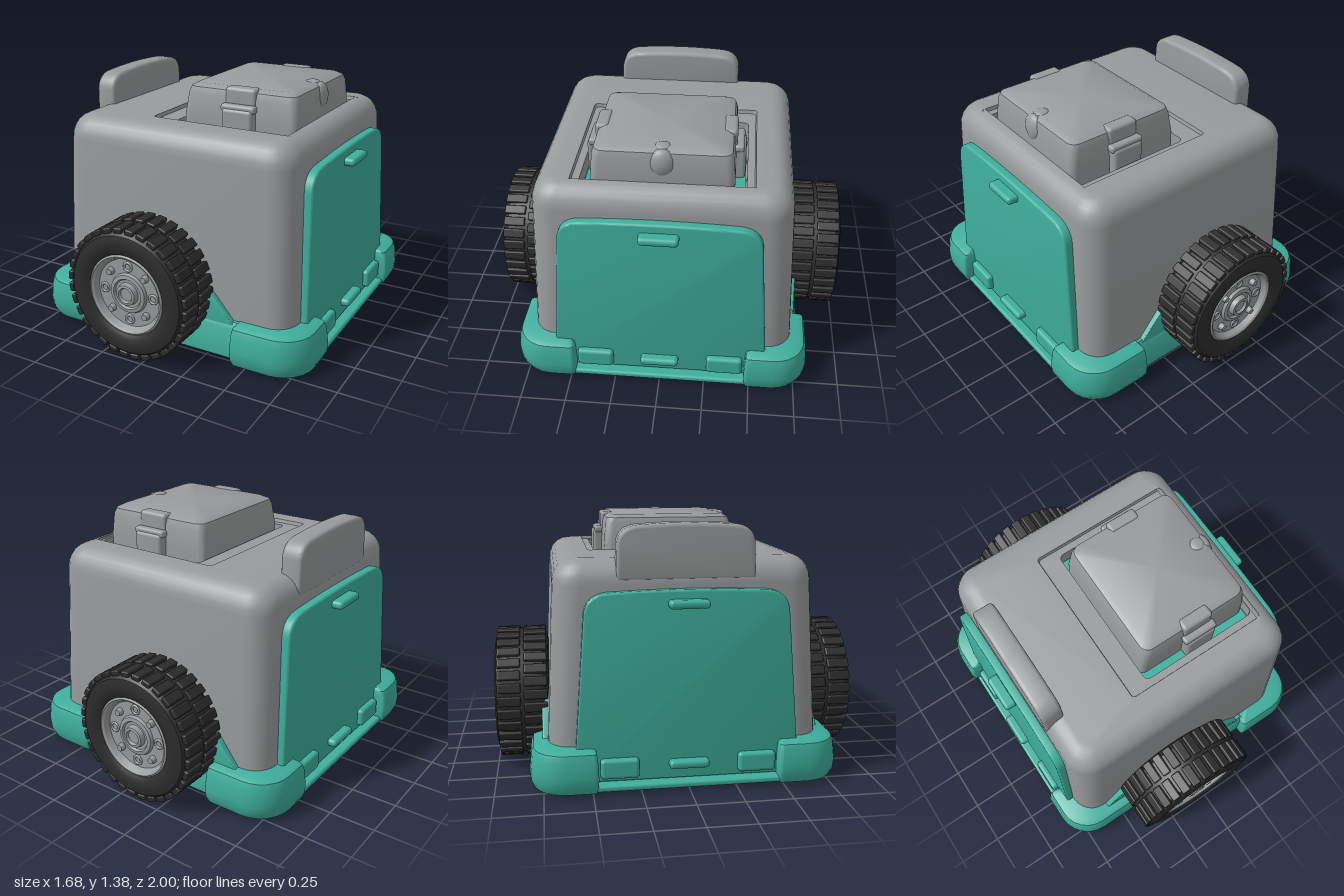
import * as THREE from 'three';
import { toCreasedNormals } from 'three/addons/utils/BufferGeometryUtils.js';
import { RoundedBoxGeometry } from 'three/addons/geometries/RoundedBoxGeometry.js';

const mat = (name, color) => {
  const m = new THREE.MeshStandardMaterial({ color });
  m.name = name;
  return m;
};

// Skins rounded-rectangle sections [y, x0, x1, z0, z1, radius or four radii], closed at both ends
function loft(sections) {
  const steps = 6, loops = sections.map(([y, x0, x1, z0, z1, r]) => {
    const radii = Array.isArray(r) ? r : [r, r, r, r];
    const pts = [];
    for (let c = 0; c < 4; c++) {
      const q = radii[c];
      const cx = c === 0 || c === 3 ? x1 - q : x0 + q;
      const cz = c < 2 ? z1 - q : z0 + q;
      for (let i = 0; i <= steps; i++) {
        const a = (c + i / steps) * Math.PI / 2;
        pts.push([cx + q * Math.cos(a), y, cz + q * Math.sin(a)]);
      }
    }
    return pts;
  });
  const n = loops[0].length, pos = [];
  const tri = (...p) => p.forEach(v => pos.push(...v));
  const middle = ([y, x0, x1, z0, z1]) => [(x0 + x1) / 2, y, (z0 + z1) / 2];
  const bottom = middle(sections[0]), top = middle(sections[sections.length - 1]);
  for (let i = 0; i < n; i++) {
    const j = (i + 1) % n;
    tri(bottom, loops[0][i], loops[0][j]);
    for (let k = 0; k + 1 < loops.length; k++) {
      const lo = loops[k], hi = loops[k + 1];
      tri(lo[i], hi[i], lo[j]);
      tri(lo[j], hi[i], hi[j]);
    }
    tri(top, loops[loops.length - 1][j], loops[loops.length - 1][i]);
  }
  const g = new THREE.BufferGeometry();
  g.setAttribute('position', new THREE.Float32BufferAttribute(pos, 3));
  return toCreasedNormals(g, 0.6);
}

// Door-like outline with sloping sides and rounded top corners
function arch(bottomHalf, topHalf, y0, y1, r) {
  const s = new THREE.Shape();
  s.moveTo(-bottomHalf, y0);
  s.lineTo(bottomHalf, y0);
  s.lineTo(topHalf, y1 - r);
  s.quadraticCurveTo(topHalf - 0.01, y1 - 0.02, topHalf - r, y1 - 0.01);
  s.quadraticCurveTo(0, y1 + 0.01, -topHalf + r, y1 - 0.01);
  s.quadraticCurveTo(-topHalf + 0.01, y1 - 0.02, -topHalf, y1 - r);
  s.closePath();
  return s;
}

const extrude = (shape, depth, bevel = 0.01) => toCreasedNormals(new THREE.ExtrudeGeometry(shape, {
  depth: depth - bevel, bevelThickness: bevel, bevelSize: bevel, bevelOffset: -bevel,
  bevelSegments: 3, curveSegments: 10,
}), 0.6);

export function createModel() {
  const teal = mat('teal', 0x3eae9c), grey = mat('grey', 0x989b9c), black = mat('tyre black', 0x2c2c2c);
  const model = new THREE.Group();
  const add = (parent, name, geo, m, x = 0, y = 0, z = 0) => {
    const mesh = new THREE.Mesh(geo, m);
    mesh.name = name;
    mesh.position.set(x, y, z);
    parent.add(mesh);
    return mesh;
  };
  const group = name => {
    const g = new THREE.Group();
    g.name = name;
    model.add(g);
    return g;
  };
  const box = (w, h, d, r = 0.02) => new RoundedBoxGeometry(w, h, d, 3, r);

  // Tapered shell with a shoulder curve and a stepped well in the roof
  const shell = [[0.1, -0.72, 0.72, -0.725, 0.725, 0.13], [0.24, -0.72, 0.72, -0.72, 0.72, 0.13]];
  for (let i = 0; i <= 6; i++) {
    const a = i / 6 * Math.PI / 2, x = 0.575 + 0.115 * Math.cos(a), z = 0.565 + 0.115 * Math.cos(a);
    shell.push([1.06 + 0.13 * Math.sin(a), -x, x, -z, z, 0.05 + 0.09 * Math.cos(a)]);
  }
  shell.push([1.19, -0.225, 0.6, -0.475, 0.475, 0.02], [1.17, -0.22, 0.595, -0.47, 0.47, 0.02],
    [1.17, -0.11, 0.58, -0.43, 0.43, 0.03], [1.08, -0.11, 0.58, -0.43, 0.43, 0.03]);
  add(model, 'body shell', loft(shell), grey);
  add(model, 'roof well floor', new THREE.BoxGeometry(0.68, 0.008, 0.85), teal, 0.235, 1.085, 0);

  // Roof hatch, its clips and its catch
  add(model, 'roof hatch', loft([
    [1.08, -0.105, 0.575, -0.37, 0.37, 0.04], [1.2, -0.1, 0.575, -0.37, 0.37, 0.04],
    [1.32, -0.082, 0.565, -0.362, 0.362, 0.045], [1.352, -0.072, 0.555, -0.352, 0.352, 0.05],
    [1.37, -0.04, 0.525, -0.32, 0.32, 0.05]]), grey);
  for (const s of [-1, 1]) {
    add(model, 'hatch clip', box(0.18, 0.19, 0.07), grey, 0.25, 1.175, s * 0.385);
    add(model, 'hatch clip top', box(0.18, 0.1, 0.075), grey, 0.25, 1.325, s * 0.335);
    add(model, 'hatch clip hinge', box(0.2, 0.04, 0.05, 0.015), grey, 0.25, 1.27, s * 0.385);
  }
  const catchBump = add(model, 'hatch catch', new THREE.SphereGeometry(1, 20, 12), grey, 0.545, 1.29, 0);
  catchBump.scale.set(0.04, 0.08, 0.07);
  const knob = add(model, 'hatch knob', new THREE.SphereGeometry(0.04, 20, 12), grey, 0.5, 1.365, 0);
  knob.scale.y = 0.35;

  // Upright grip on the roof edge
  const grip = add(model, 'roof grip', extrude(arch(0.36, 0.355, 1.08, 1.37, 0.1), 0.1, 0.02), grey, -0.67);
  grip.rotation.y = Math.PI / 2;

  // Base with a recessed underside
  add(model, 'base', loft([
    [0.06, -0.5, 0.5, -0.46, 0.46, 0.02], [0.02, -0.55, 0.55, -0.51, 0.51, 0.02],
    [0.01, -0.71, 0.71, -0.74, 0.74, 0.08], [0.03, -0.73, 0.73, -0.765, 0.765, 0.1],
    [0.2, -0.73, 0.73, -0.76, 0.76, 0.1], [0.23, -0.72, 0.72, -0.74, 0.74, 0.1]]), teal);
  for (const sx of [-1, 1]) {
    add(model, 'side sill', box(0.16, 0.035, 1.0, 0.015), teal, sx * 0.735, 0.032, 0);
    for (const sz of [-1, 1]) {
      // Corner bumper: large radius on the outside corner only
      const outer = sx > 0 ? (sz > 0 ? 0 : 3) : (sz > 0 ? 1 : 2);
      const section = (y, inset, r) => {
        const xa = 0.42 + inset * 0.4, xb = 0.84 - inset, za = 0.47 + inset * 0.4, zb = 0.82 - inset;
        const radii = [0.02, 0.02, 0.02, 0.02];
        radii[outer] = r;
        return [y, Math.min(sx * xa, sx * xb), Math.max(sx * xa, sx * xb),
          Math.min(sz * za, sz * zb), Math.max(sz * za, sz * zb), radii];
      };
      add(model, 'corner bumper', loft([section(0.003, 0.05, 0.16), section(0.015, 0.02, 0.18),
        section(0.05, 0.004, 0.19), section(0.1, 0, 0.19), section(0.19, 0.01, 0.18),
        section(0.222, 0.022, 0.17), section(0.235, 0.05, 0.15)]), teal);
    }
  }

  // Wheel arch plates
  const archPlate = new THREE.Shape([[-0.6, 0.2], [0.43, 0.2], [0.24, 0.41], [-0.43, 0.41]]
    .map(p => new THREE.Vector2(...p)));
  add(model, 'front wheel arch', extrude(archPlate, 0.06), teal, 0, 0, 0.69);
  add(model, 'back wheel arch', extrude(archPlate, 0.06), teal, 0, 0, -0.74);

  // Side doors, leaning with the shell
  const frame = arch(0.595, 0.53, 0.05, 1.04, 0.12);
  frame.holes.push(arch(0.47, 0.455, 0.07, 0.945, 0.06));
  const leaf = arch(0.463, 0.448, 0.077, 0.938, 0.06);
  for (const [y0, y1] of [[0.19, 0.5], [0.53, 0.85]]) leaf.holes.push(arch(0.375, 0.37, y0, y1, 0.03));
  for (const s of [-1, 1]) {
    const door = group(s > 0 ? 'left door' : 'right door');
    door.rotation.set(-0.025, s * Math.PI / 2, 0, 'YXZ');
    door.position.x = s * 0.705;
    add(door, 'door frame', extrude(frame, 0.06, 0.012), teal);
    add(door, 'door leaf', extrude(leaf, 0.052, 0.008), teal);
    add(door, 'door panel', extrude(arch(0.5, 0.48, 0.06, 0.96, 0.06), 0.034, 0.004), teal);
    add(door, 'upper latch', box(0.21, 0.045, 0.09), teal, 0, 0.97, 0.075);
    add(door, 'lower latch', box(0.21, 0.045, 0.08), teal, 0, 0.135, 0.07);
    for (const u of [-1, 1]) add(door, 'hinge block', box(0.2, 0.105, 0.1), teal, u * 0.36, 0.125, 0.045);
  }

  // Wheels
  const lathe = pts => toCreasedNormals(
    new THREE.LatheGeometry(pts.map(p => new THREE.Vector2(...p)), 56).rotateX(Math.PI / 2), 0.5);
  const tyreGeo = lathe([[0, -0.13], [0.2, -0.14], [0.29, -0.15], [0.33, -0.14], [0.352, -0.11], [0.357, 0],
    [0.352, 0.11], [0.33, 0.14], [0.29, 0.15], [0.25, 0.147], [0.222, 0.13], [0.215, 0.08]]);
  const hubGeo = lathe([[0.235, 0.08], [0.228, 0.13], [0.215, 0.138], [0.203, 0.13], [0.19, 0.1], [0.112, 0.1],
    [0.105, 0.116], [0.085, 0.12], [0.078, 0.108], [0.062, 0.108], [0.056, 0.135], [0.042, 0.138],
    [0.035, 0.125], [0, 0.125]]);
  const boltGeo = new THREE.CylinderGeometry(0.017, 0.022, 0.03, 10).rotateX(Math.PI / 2);
  const ringGeo = new THREE.TorusGeometry(0.023, 0.007, 8, 16);
  const treadGeo = box(0.03, 0.052, 0.125, 0.008);
  for (const s of [-1, 1]) {
    const wheel = group(s > 0 ? 'front wheel' : 'back wheel');
    wheel.position.set(-0.09, 0.372, s * 0.85);
    wheel.rotation.y = s > 0 ? 0 : Math.PI;
    add(wheel, 'tyre', tyreGeo, black);
    add(wheel, 'hub', hubGeo, grey);
    for (let i = 0; i < 8; i++) {
      const a = i * Math.PI / 4;
      const x = 0.15 * Math.cos(a), y = 0.15 * Math.sin(a);
      if (i % 2) add(wheel, 'bolt', boltGeo, grey, x, y, 0.112);
      else add(wheel, 'bolt ring', ringGeo, grey, x, y, 0.102);
    }
    // Two staggered rows of tread blocks
    const count = 32;
    for (let i = 0; i < count * 2; i++) {
      const a = i * Math.PI / count;
      add(wheel, 'tread block', treadGeo, black, 0.355 * Math.cos(a), 0.355 * Math.sin(a), i % 2 ? 0.072 : -0.072)
        .rotation.z = a;
    }
  }
  return model;
}
